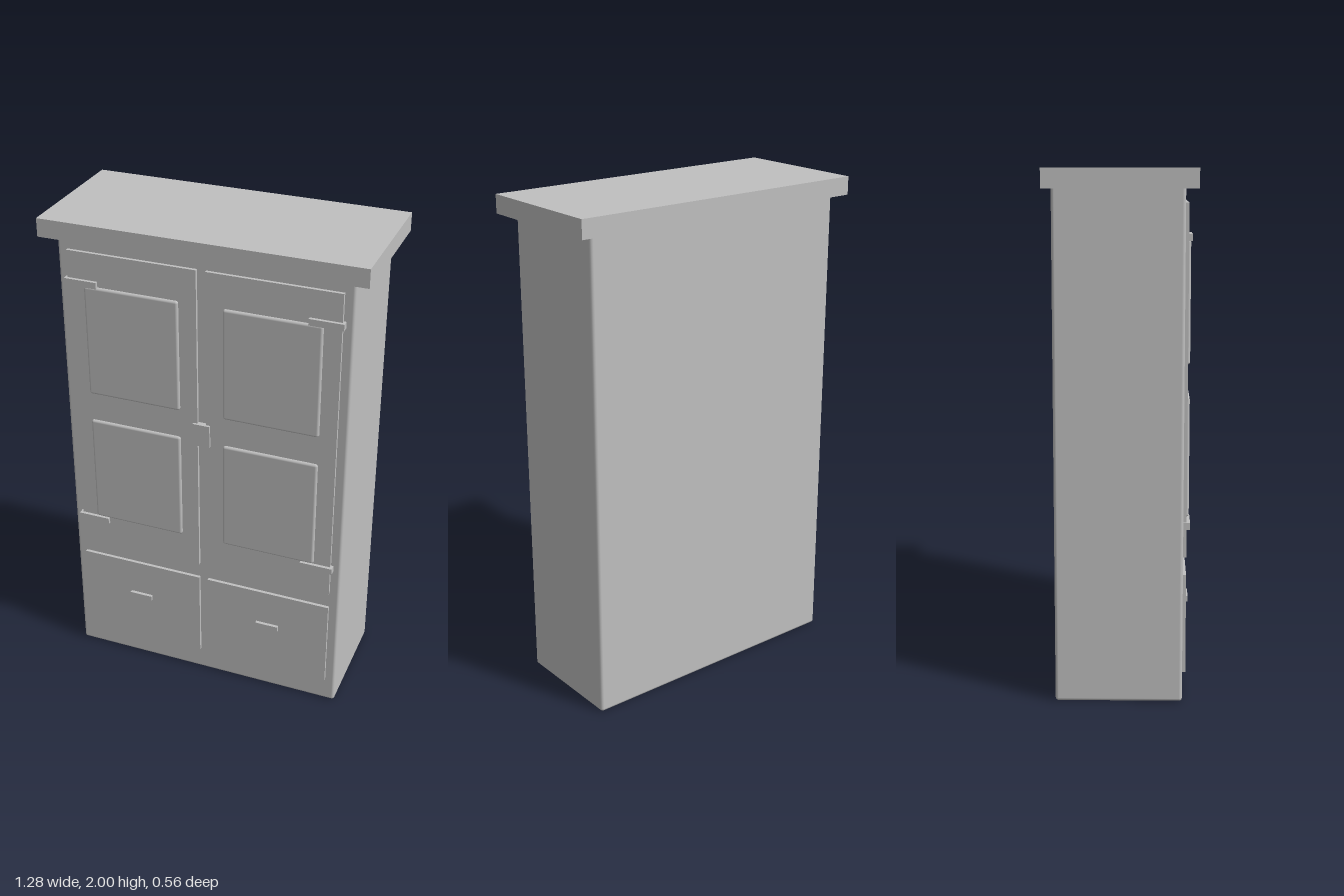
import * as THREE from 'three';
import { RoundedBoxGeometry } from 'three/addons/geometries/RoundedBoxGeometry.js';

export function createModel() {
  const group = new THREE.Group();
  group.name = 'wardrobe';
  const grey = new THREE.MeshStandardMaterial({ color: 0xc0c0c0 });
  grey.name = 'grey';

  // Box given by its limits on each axis; a bevel radius rounds its edges
  function block(name, [x0, x1], [y0, y1], [z0, z1], bevel = 0) {
    const size = [x1 - x0, y1 - y0, z1 - z0];
    const geometry = bevel
      ? new RoundedBoxGeometry(...size, 2, bevel)
      : new THREE.BoxGeometry(...size);
    const mesh = new THREE.Mesh(geometry, grey);
    mesh.name = name;
    mesh.position.set((x0 + x1) / 2, (y0 + y1) / 2, (z0 + z1) / 2);
    group.add(mesh);
  }

  // Carcass and overhanging top
  block('body', [-0.583, 0.583], [0, 1.94], [-0.248, 0.234], 0.012);
  block('topBoard', [-0.64, 0.64], [1.927, 2], [-0.28, 0.28]);

  // Latch across the gap between the doors
  block('latch', [-0.035, 0.035], [1.14, 1.235], [0.225, 0.257]);

  for (const [side, s] of [['left', 1], ['right', -1]]) {
    const span = (a, b) => (s > 0 ? [a, b] : [-b, -a]);

    // Door with two raised panels and two strap hinges
    block(side + 'Door', span(0.018, 0.542), [0.559, 1.877], [0.22, 0.247]);
    block(side + 'UpperPanel', span(0.089, 0.474), [1.28, 1.743], [0.225, 0.257], 0.01);
    block(side + 'LowerPanel', span(0.089, 0.474), [0.697, 1.16], [0.225, 0.257], 0.01);
    block(side + 'UpperHinge', span(0.419, 0.552), [1.74, 1.766], [0.225, 0.26]);
    block(side + 'LowerHinge', span(0.419, 0.552), [0.669, 0.695], [0.225, 0.26]);

    // Drawer and its pull
    block(side + 'Drawer', span(0.018, 0.542), [0.103, 0.49], [0.22, 0.247]);
    block(side + 'DrawerPull', span(0.236, 0.333), [0.315, 0.337], [0.225, 0.26]);
  }
  return group;
}
